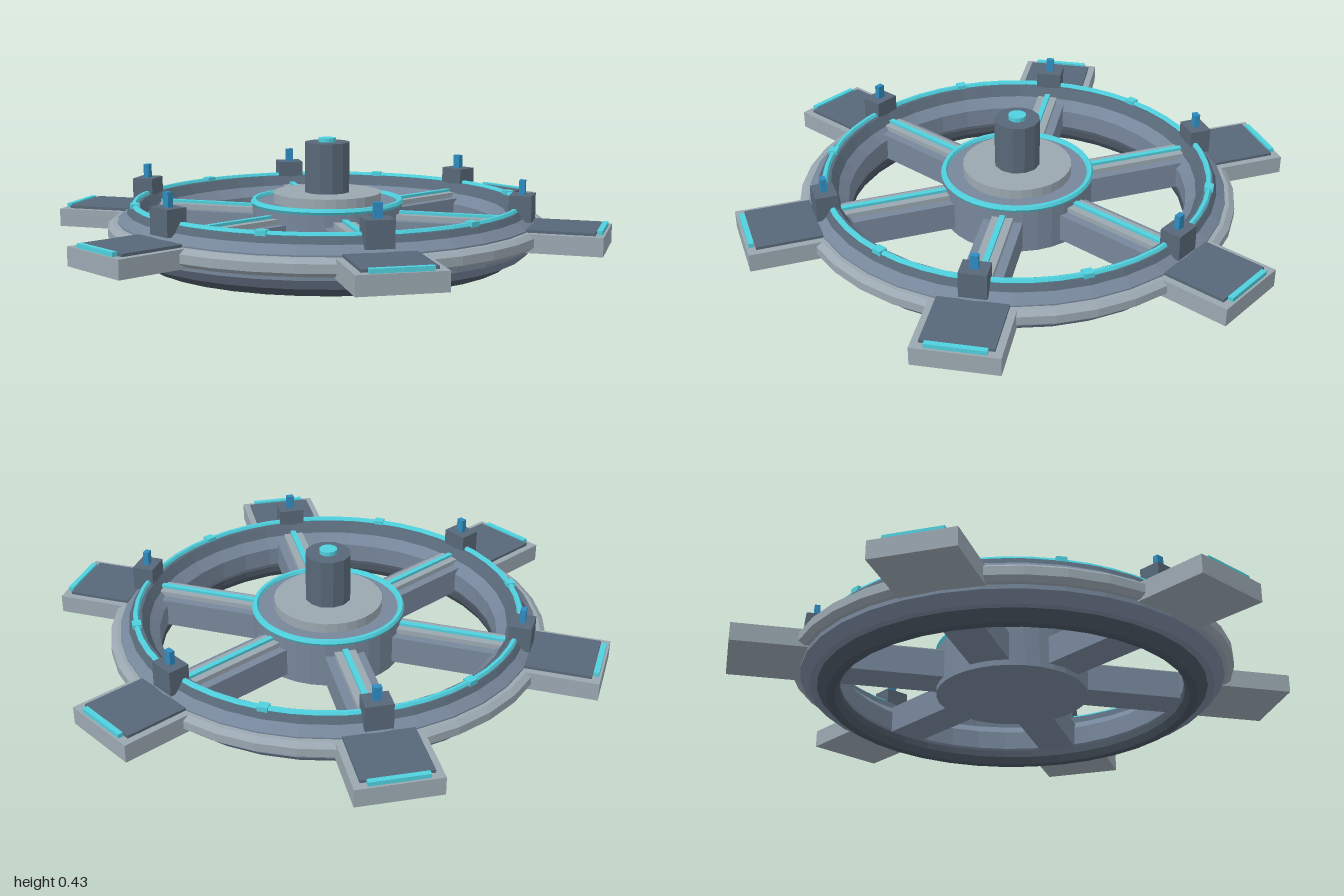
import * as THREE from 'three';

const mat = (color) => new THREE.MeshStandardMaterial({ color, flatShading: true });
const LIGHT = mat(0x9aa7b0), STEEL = mat(0x76869a), SLATE = mat(0x586878);
const DARK = mat(0x4a5562), CYAN = mat(0x4fd0de), BLUE = mat(0x2f8cc0);

function add(parent, name, geometry, material, x = 0, y = 0, z = 0) {
  const mesh = new THREE.Mesh(geometry, material);
  mesh.name = name;
  mesh.position.set(x, y, z);
  parent.add(mesh);
  return mesh;
}

// Box given by width, bottom and top height, and radial extent along +z
function radialBox(parent, name, material, w, y0, y1, z0, z1) {
  return add(parent, name, new THREE.BoxGeometry(w, y1 - y0, z1 - z0), material,
    0, (y0 + y1) / 2, (z0 + z1) / 2);
}

// Closed ring from a cross-section of [radius, height], counter-clockwise
function ring(parent, name, material, profile, segments = 36) {
  const points = [...profile, profile[0]].map(([r, y]) => new THREE.Vector2(r, y));
  return add(parent, name, new THREE.LatheGeometry(points, segments), material);
}

function disc(parent, name, material, r, y0, y1, segments) {
  return add(parent, name, new THREE.CylinderGeometry(r, r, y1 - y0, segments), material,
    0, (y0 + y1) / 2, 0);
}

function glowRing(parent, name, r, tube, y) {
  const geometry = new THREE.TorusGeometry(r, tube, 6, 48).rotateX(Math.PI / 2);
  return add(parent, name, geometry, CYAN, 0, y, 0);
}

export function createModel() {
  const model = new THREE.Group();
  model.name = 'ringStation';

  // Stepped rim
  ring(model, 'lowerRim', DARK, [[0.625, 0], [0.655, 0], [0.69, 0.035], [0.69, 0.05], [0.61, 0.05], [0.61, 0.025]]);
  ring(model, 'mainRim', STEEL, [[0.63, 0.035], [0.715, 0.035], [0.75, 0.07], [0.75, 0.15],
    [0.715, 0.18], [0.66, 0.18], [0.61, 0.13], [0.61, 0.06]]);
  ring(model, 'upperRim', SLATE, [[0.645, 0.165], [0.725, 0.165], [0.705, 0.2], [0.67, 0.2]]);
  ring(model, 'outerBand', LIGHT, [[0.74, 0.085], [0.765, 0.085], [0.785, 0.1], [0.785, 0.13], [0.765, 0.145], [0.74, 0.145]]);
  glowRing(model, 'rimLight', 0.69, 0.011, 0.202);

  // Hub with its central column
  disc(model, 'hub', STEEL, 0.27, 0.03, 0.2, 32);
  glowRing(model, 'hubLight', 0.263, 0.012, 0.202);
  disc(model, 'hubPlate', LIGHT, 0.195, 0.2, 0.235, 32);
  disc(model, 'column', SLATE, 0.082, 0.235, 0.415, 12);
  disc(model, 'columnLight', CYAN, 0.032, 0.415, 0.43, 12);

  for (let i = 0; i < 6; i++) {
    const arm = new THREE.Group();
    arm.name = 'arm' + (i + 1);
    arm.rotation.y = (i * Math.PI) / 3;
    model.add(arm);

    // Spoke
    radialBox(arm, 'spoke', STEEL, 0.14, 0.05, 0.15, 0.2, 0.65);
    radialBox(arm, 'spokeRail', LIGHT, 0.075, 0.15, 0.168, 0.24, 0.66);
    radialBox(arm, 'spokeLight', CYAN, 0.02, 0.165, 0.178, 0.27, 0.65);

    // Docking pad
    radialBox(arm, 'pad', LIGHT, 0.29, 0.08, 0.145, 0.7, 1);
    radialBox(arm, 'padPanel', SLATE, 0.24, 0.145, 0.155, 0.74, 0.97);
    radialBox(arm, 'padLight', CYAN, 0.2, 0.14, 0.16, 0.973, 0.992);

    // Post and beacon on the rim
    radialBox(arm, 'post', SLATE, 0.095, 0.165, 0.257, 0.667, 0.745);
    radialBox(arm, 'beacon', BLUE, 0.028, 0.25, 0.307, 0.696, 0.716);

    // Marker halfway to the next arm
    const marker = new THREE.Group();
    marker.name = 'marker' + (i + 1);
    marker.rotation.y = ((i + 0.5) * Math.PI) / 3;
    model.add(marker);
    radialBox(marker, 'markerLight', CYAN, 0.036, 0.197, 0.215, 0.674, 0.706);
  }
  return model;
}
